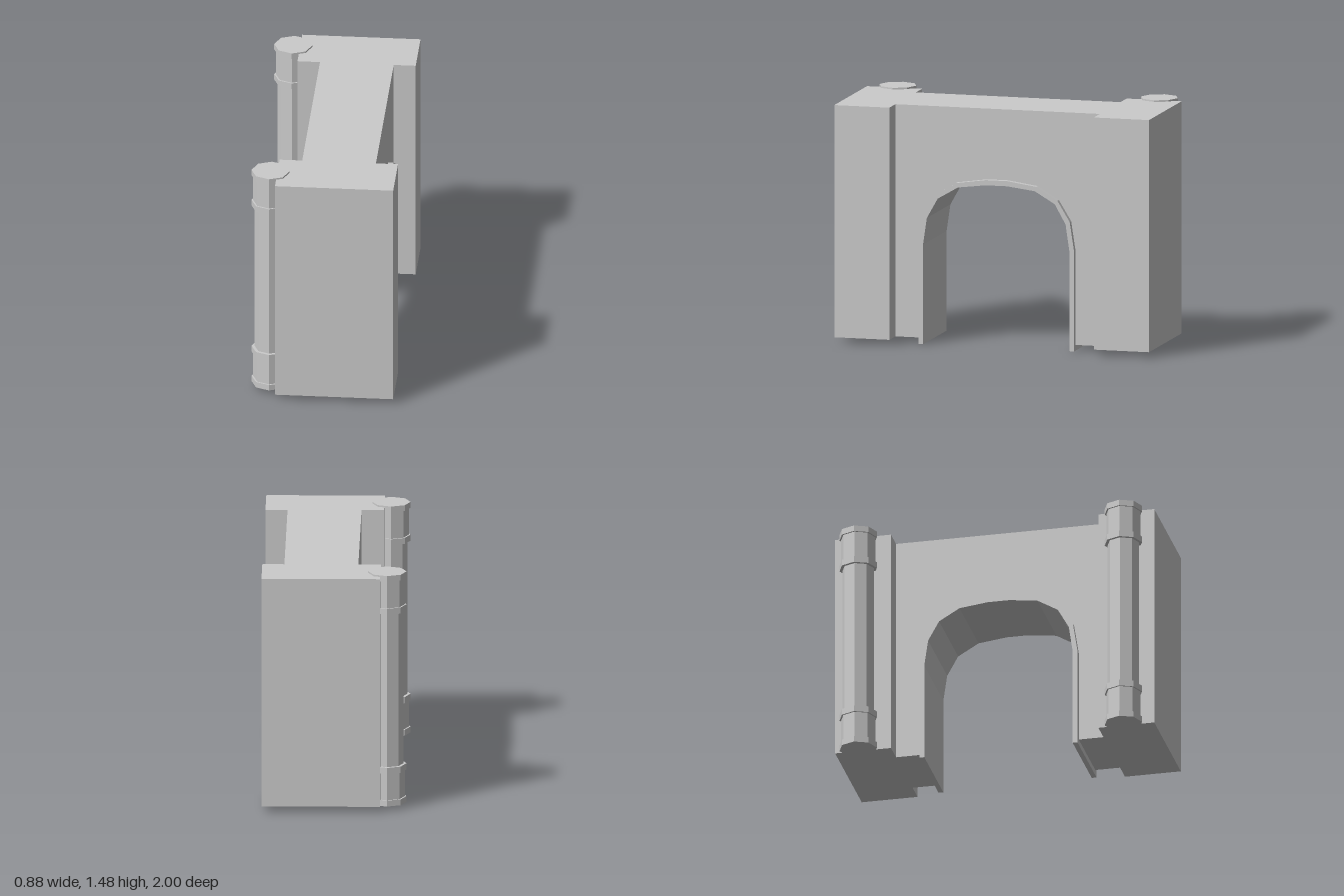
import * as THREE from 'three';

const material = new THREE.MeshStandardMaterial({ color: 0xcccccc, flatShading: true });

// Half arch curves as [z, y], from springing to crown
const OUTER = [[0.495, 0.617], [0.467, 0.8], [0.389, 0.928], [0.255, 1.008], [0.067, 1.035]];
const INNER = [[0.465, 0.617], [0.441, 0.783], [0.372, 0.906], [0.244, 0.981], [0.067, 1.003]];
const BASE = 0.035, TOP = 1.473;

// Full arch from one foot to the other, with legs down to y = foot
function archPath(half, foot) {
  const side = [[half[0][0], foot], ...half];
  return [...side, ...side.map(([z, y]) => [-z, y]).reverse()];
}

// Extrude a z-y outline along x
function extrudeX(name, outline, x0, x1) {
  const shape = new THREE.Shape(outline.map(([z, y]) => new THREE.Vector2(-z, y)));
  const geometry = new THREE.ExtrudeGeometry(shape, { depth: x1 - x0, bevelEnabled: false });
  geometry.rotateY(Math.PI / 2).translate(x0, 0, 0);
  const mesh = new THREE.Mesh(geometry, material);
  mesh.name = name;
  return mesh;
}

export function createModel() {
  const group = new THREE.Group();
  group.name = 'archway';

  // Wall with the arched opening cut out of its underside
  group.add(extrudeX('wall',
    [[0.65, BASE], [0.65, TOP], [-0.65, TOP], [-0.65, BASE], ...archPath(OUTER, BASE).reverse()],
    -0.147, 0.305));

  // Lining of the opening, standing proud of both wall faces
  group.add(extrudeX('archTrim',
    [...archPath(OUTER, 0), ...archPath(INNER, 0).reverse()],
    -0.183, 0.338));

  // End piers
  for (const s of [1, -1]) {
    const pier = new THREE.Mesh(new THREE.BoxGeometry(0.725, TOP - BASE, 0.35), material);
    pier.name = s > 0 ? 'frontPier' : 'backPier';
    pier.position.set(0.0775, (TOP + BASE) / 2, s * 0.825);
    group.add(pier);
  }

  // Eight-sided columns with banded base and capital
  const band = 0.117, block = 0.107, shaft = 0.098;
  const profile = [
    [0, 0.027], [band, 0.027], [band, 0.064], [block, 0.064], [block, 0.232],
    [band, 0.232], [band, 0.271], [shaft, 0.271], [shaft, 1.238], [band, 1.238],
    [band, 1.276], [block, 1.276], [block, 1.446], [band, 1.446], [band, 1.483], [0, 1.483],
  ].map(([r, y]) => new THREE.Vector2(r, y));
  const columnGeometry = new THREE.LatheGeometry(profile, 8);
  for (const [name, z] of [['frontColumn', 0.816], ['backColumn', -0.846]]) {
    const column = new THREE.Mesh(columnGeometry, material);
    column.name = name;
    column.position.set(-0.327, 0, z);
    group.add(column);
  }
  return group;
}
